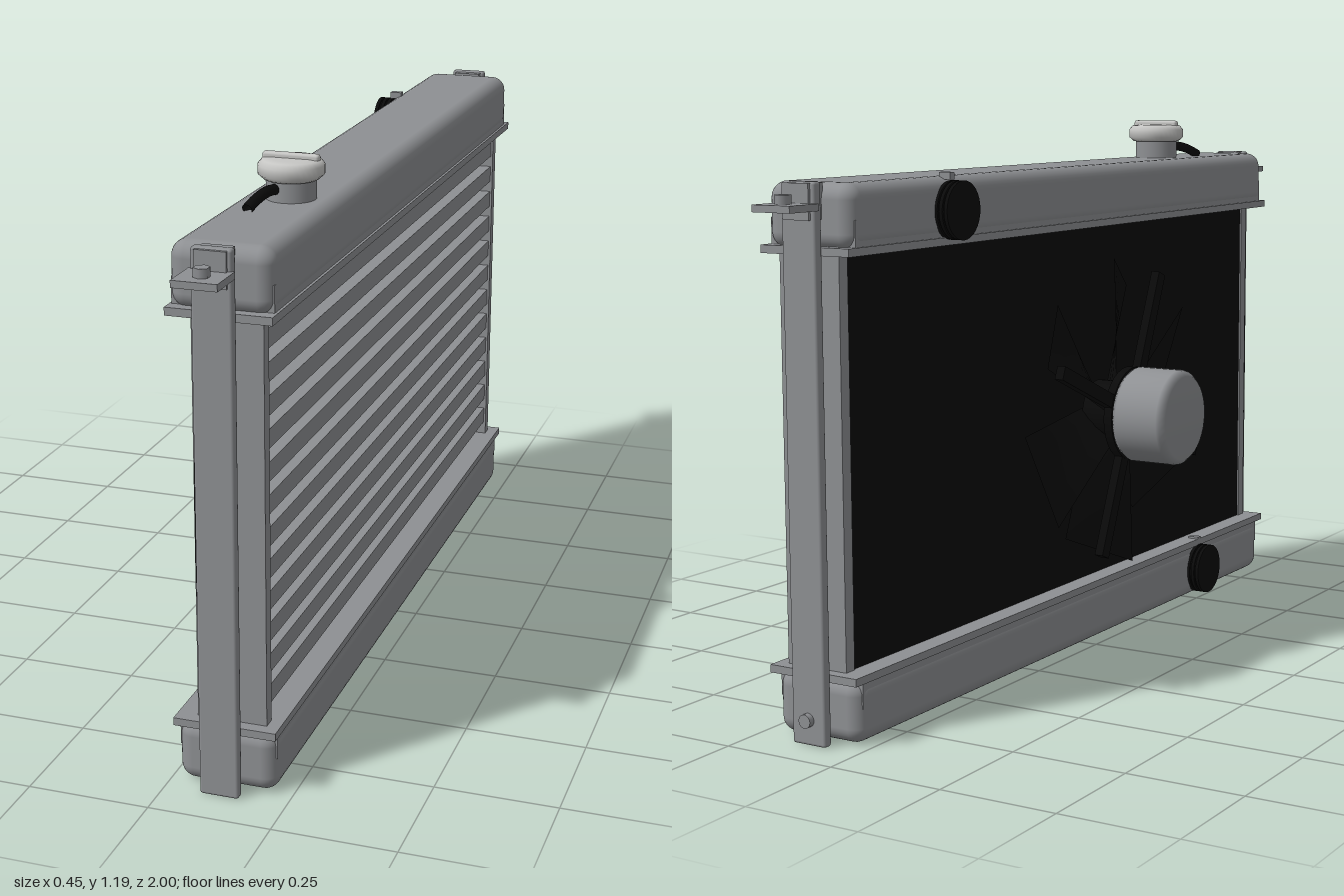
import * as THREE from 'three';
import { RoundedBoxGeometry } from 'three/addons/geometries/RoundedBoxGeometry.js';

export function createModel() {
  const model = new THREE.Group();
  model.name = 'radiator';
  const mat = (name, color, side = THREE.FrontSide) => {
    const m = new THREE.MeshStandardMaterial({ color, side });
    m.name = name;
    return m;
  };
  const metal = mat('grey metal', 0x8e9093);
  const pale = mat('pale cap metal', 0xc6c6c4);
  const black = mat('black rubber', 0x0a0a0a, THREE.DoubleSide);

  const add = (name, geo, material, x = 0, y = 0, z = 0, parent = model) => {
    const m = new THREE.Mesh(geo, material);
    m.name = name;
    m.position.set(x, y, z);
    parent.add(m);
    return m;
  };
  // box given by its min and max on each axis
  const box = (name, material, x0, x1, y0, y1, z0, z1) =>
    add(name, new THREE.BoxGeometry(x1 - x0, y1 - y0, z1 - z0), material,
      (x0 + x1) / 2, (y0 + y1) / 2, (z0 + z1) / 2);
  // cylinder lying along x
  const rodX = (name, material, r, x0, x1, y, z, parent = model) =>
    add(name, new THREE.CylinderGeometry(r, r, x1 - x0, 32).rotateZ(Math.PI / 2),
      material, (x0 + x1) / 2, y, z, parent);
  const lathe = (pts) =>
    new THREE.LatheGeometry(pts.map(p => new THREE.Vector2(p[0], p[1])), 36);

  // tanks and their flanges
  const tankGeo = new RoundedBoxGeometry(0.205, 0.13, 1.77, 4, 0.032);
  add('topTank', tankGeo, metal, 0.118, 1.035, 0);
  add('bottomTank', tankGeo, metal, 0.118, 0.07, 0);
  for (const [name, y, dir] of [['topFlange', 0.97, 1], ['bottomFlange', 0.138, -1]]) {
    box(name, metal, 0.014, 0.224, y - 0.008, y + 0.008, -0.897, 0.897);
    // flat inner half of each tank above its flange
    const a = y, b = y + dir * 0.06;
    box(name + 'Seat', metal, 0.018, 0.2185, Math.min(a, b), Math.max(a, b), -0.87, 0.87);
  }

  // core: black backing and horizontal tubes
  box('coreBacking', black, 0.06, 0.076, 0.14, 0.968, -0.85, 0.85);
  for (let i = 0; i < 12; i++) {
    const y = 0.197 + i * 0.0655;
    box('coreTube', metal, 0.075, 0.193, y - 0.0195, y + 0.0195, -0.852, 0.852);
  }

  // side posts, mounting columns and brackets at both ends
  for (const s of [-1, 1]) {
    const zr = (a, b) => (s > 0 ? [a, b] : [-b, -a]);
    box('sidePost', metal, 0.056, 0.198, 0.14, 0.968, ...zr(0.845, 0.872));
    add('mountingColumn', new RoundedBoxGeometry(0.08, 1.1, 0.022, 2, 0.006), metal, 0.115, 0.553, s * 0.908);
    box('bracketPlate', metal, 0.07, 0.159, 1.048, 1.062, ...zr(0.912, 1.0));
    box('bracketTab', metal, 0.085, 0.147, 1.03, 1.1, ...zr(0.88, 0.925));
    add('bracketBolt', new THREE.CylinderGeometry(0.016, 0.016, 0.03, 6), metal, 0.115, 1.065, s * 0.962);
  }
  const plug = add('columnBolt', new THREE.CylinderGeometry(0.014, 0.014, 0.02, 16).rotateX(Math.PI / 2),
    metal, 0.115, 0.055, -0.922);
  plug.castShadow = false;

  // hose ports with small clamp screws
  for (const [y, z, sy] of [[1.032, -0.55, 1.105], [0.072, 0.54, 0.148]]) {
    rodX('portNeck', metal, 0.05, -0.005, 0.04, y, z);
    for (let i = 0; i < 3; i++)
      rodX('hoseRib', black, 0.06, -0.014 + i * 0.012, -0.006 + i * 0.012, y, z);
    rodX('hosePort', black, 0.056, -0.012, 0.02, y, z);
    box('clampScrew', metal, 0.014, 0.04, sy - 0.012, sy + 0.003, z - 0.008, z + 0.008);
  }

  // filler neck and cap
  const filler = new THREE.Group();
  filler.name = 'filler';
  filler.position.set(0.125, 1.09, 0.508);
  model.add(filler);
  add('fillerNeck', new THREE.CylinderGeometry(0.05, 0.05, 0.055, 32), metal, 0, 0.025, 0, filler);
  add('fillerCap', lathe([[0, 0.05], [0.055, 0.05], [0.066, 0.06], [0.066, 0.078],
    [0.058, 0.088], [0.04, 0.09], [0, 0.09]]), pale, 0, 0, 0, filler);
  add('capGrip', new RoundedBoxGeometry(0.116, 0.018, 0.018, 2, 0.006), pale, 0, 0.091, 0, filler);

  // overflow hoses
  const hose = (name, r, pts) => add(name, new THREE.TubeGeometry(
    new THREE.CatmullRomCurve3(pts.map(p => new THREE.Vector3(...p))), 20, r, 10), black);
  hose('overflowHose', 0.011, [[0.11, 1.125, 0.545], [0.1, 1.126, 0.575], [0.09, 1.118, 0.61], [0.082, 1.105, 0.642]]);
  hose('drainHose', 0.008, [[0.076, 0.15, 0.89], [0.076, 0.3, 0.89], [0.073, 0.45, 0.89], [0.073, 0.68, 0.89]]);

  // electric fan
  const fan = new THREE.Group();
  fan.name = 'fan';
  fan.position.set(0, 0.55, 0);
  model.add(fan);
  add('fanMotor', lathe([[0, -0.228], [0.093, -0.228], [0.104, -0.217], [0.106, -0.21],
    [0.106, -0.11], [0.098, -0.098], [0, -0.098]]).rotateZ(-Math.PI / 2), metal, 0, 0, 0, fan);
  rodX('motorPlate', black, 0.105, -0.1, -0.08, 0, 0, fan);
  rodX('fanHub', black, 0.07, -0.08, -0.005, 0, 0, fan);
  for (let i = 0; i < 2; i++) {
    const arm = add('fanArm', new THREE.BoxGeometry(0.02, 0.66, 0.03), black, -0.089, 0, 0, fan);
    arm.rotation.x = 0.4 + i * Math.PI / 2;
  }
  // pitched blade that widens toward its tip
  const blade = new THREE.PlaneGeometry(1, 1, 4, 4);
  const p = blade.attributes.position;
  for (let i = 0; i < p.count; i++) {
    const u = p.getX(i), t = p.getY(i) + 0.5;
    const r = 0.05 + t * (0.265 - u * 0.05);
    p.setXYZ(i, -0.036 + u * 0.07, r, u * (0.07 + 0.12 * t));
  }
  blade.computeVertexNormals();
  for (let i = 0; i < 6; i++)
    add('fanBlade', blade, black, 0, 0, 0, fan).rotation.x = 0.15 + i * Math.PI / 3;

  return model;
}
